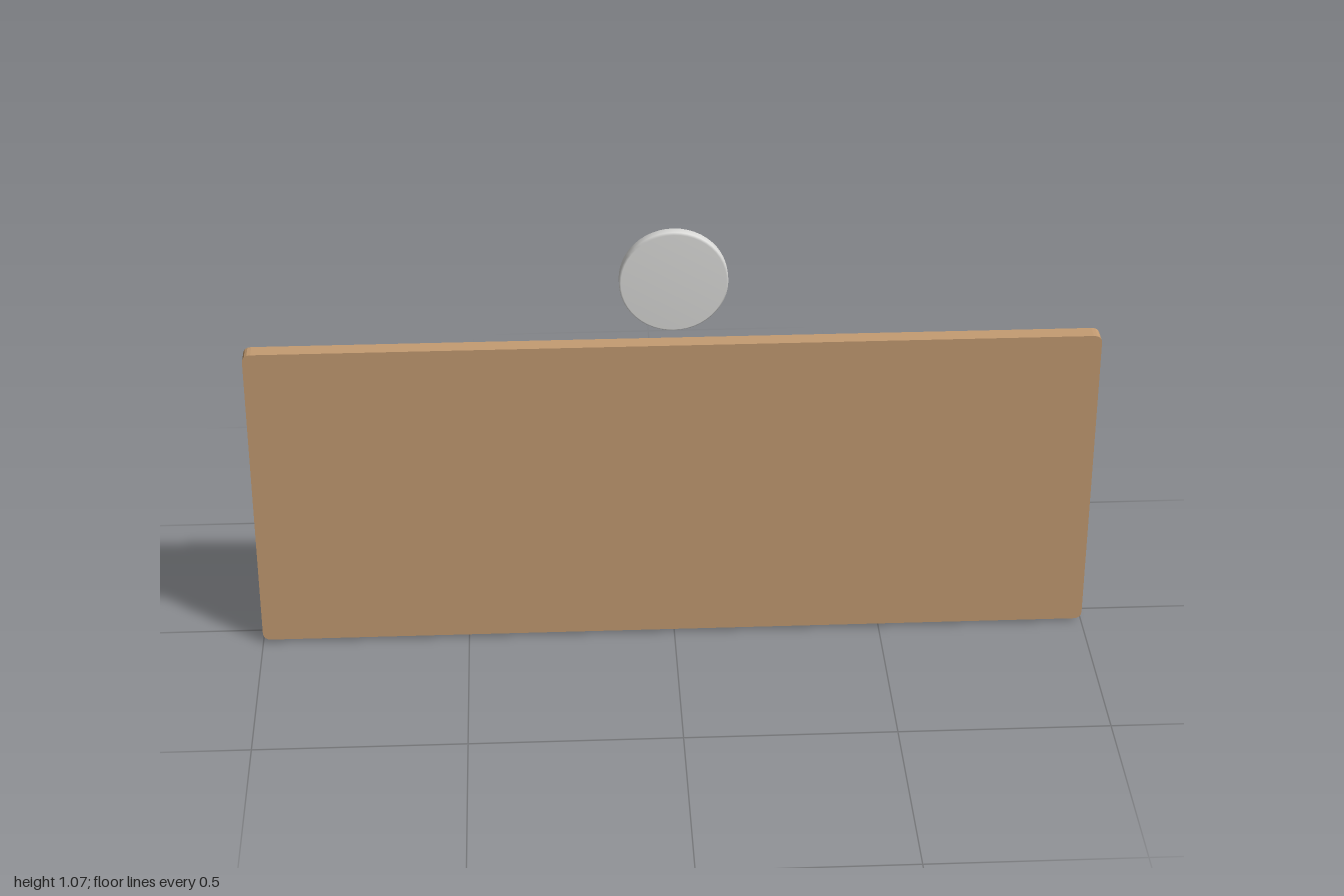
import * as THREE from 'three';

function material(name, color) {
  const m = new THREE.MeshStandardMaterial({ color });
  m.name = name;
  return m;
}

export function createModel() {
  const group = new THREE.Group();
  group.name = 'chalkboard';
  const wood = material('wood', 0xc49c72);
  const green = material('board green', 0x5e8e70);
  const white = material('off white', 0xdcdcda);

  const add = (name, geometry, mat, x, y, z, turn = 0) => {
    const mesh = new THREE.Mesh(geometry, mat);
    mesh.name = name;
    mesh.position.set(x, y, z);
    mesh.rotation.z = turn;
    group.add(mesh);
    return mesh;
  };

  // Wooden backing panel with softened corners
  const w = 1, h = 0.3935, r = 0.02;
  const outline = new THREE.Shape();
  outline.moveTo(-w + r, -h);
  outline.lineTo(w - r, -h);
  outline.quadraticCurveTo(w, -h, w, -h + r);
  outline.lineTo(w, h - r);
  outline.quadraticCurveTo(w, h, w - r, h);
  outline.lineTo(-w + r, h);
  outline.quadraticCurveTo(-w, h, -w, h - r);
  outline.lineTo(-w, -h + r);
  outline.quadraticCurveTo(-w, -h, -w + r, -h);
  const panel = new THREE.ExtrudeGeometry(outline, { depth: 0.04, bevelEnabled: false, curveSegments: 4 });
  add('backingPanel', panel, wood, 0, 0.4015, 0.015);

  // Writing surface, facing the back
  add('writingSurface', new THREE.BoxGeometry(1.89, 0.695, 0.013), green, 0, 0.401, 0.0095);

  // Chalk tray
  add('chalkTray', new THREE.BoxGeometry(1.944, 0.032, 0.072), wood, -0.003, 0.016, -0.019);

  // Pinned paper sheets: x, y, turn
  const sheets = [[0.45, 0.424, -0.08], [-0.343, 0.384, 0.13], [-0.578, 0.452, -0.11]];
  for (const [x, y, turn] of sheets) {
    add('paperSheet', new THREE.BoxGeometry(0.165, 0.218, 0.004), white, x, y, -0.0015, turn);
  }

  // Round disc above the board, shaded softly across its rim
  const d = 0.0155;
  const profile = [[0, -d], [0.122, -d], [0.1265, -d * 0.7], [0.1265, d * 0.7], [0.122, d], [0, d]]
    .map(([x, y]) => new THREE.Vector2(x, y));
  const disc = new THREE.LatheGeometry(profile, 48);
  disc.rotateX(Math.PI / 2);
  add('disc', disc, white, 0, 0.943, 0.0085);

  return group;
}
